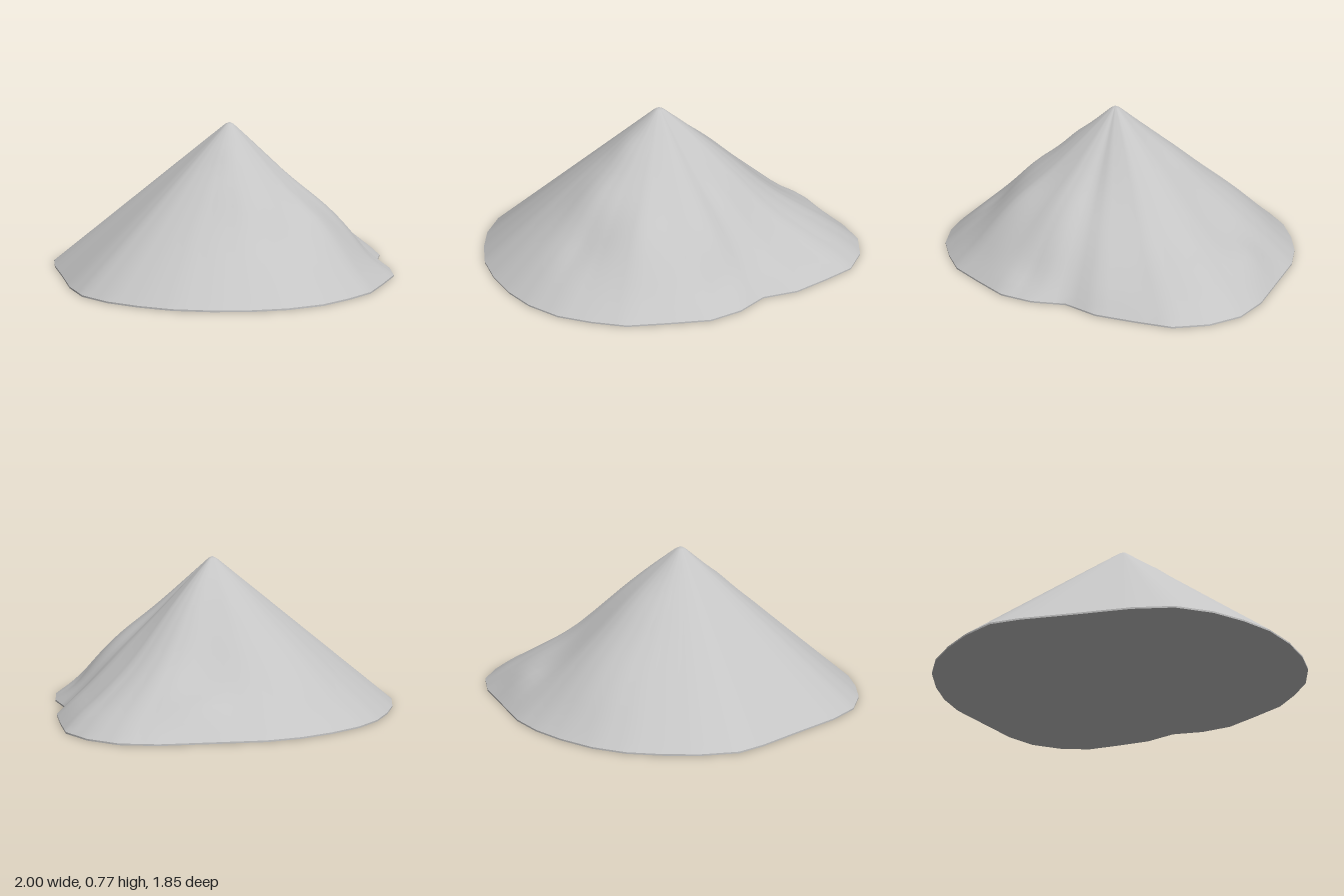
import * as THREE from 'three';

// Footprint of the heap as [x, z], running back -> +x -> front -> -x
const RIM = [
  [-0.15, -0.93], [0.02, -0.93], [0.2, -0.89], [0.36, -0.83], [0.51, -0.74], [0.69, -0.57],
  [0.87, -0.4], [0.97, -0.25], [1, -0.08], [0.97, 0.09], [0.86, 0.24], [0.74, 0.39],
  [0.59, 0.49], [0.51, 0.64], [0.39, 0.76], [0.2, 0.84], [0.02, 0.91], [-0.15, 0.92],
  [-0.32, 0.91], [-0.49, 0.85], [-0.63, 0.76], [-0.76, 0.64], [-0.87, 0.5], [-0.94, 0.35],
  [-0.99, 0.19], [-1, 0.01], [-0.94, -0.17], [-0.82, -0.4], [-0.71, -0.62], [-0.63, -0.74],
  [-0.48, -0.83], [-0.32, -0.89],
];
const PEAK = { x: -0.06, y: 0.775, z: 0.03 };
const LIP = 0.008;
const RINGS = 28;
const SPLIT = 3;

// Soft swellings and hollows: [x, z, radius, height]
const LUMPS = [
  [0.55, 0.02, 0.27, -0.055],  // hollow on the +x flank
  [0.45, -0.3, 0.16, -0.02],
  [0.66, -0.49, 0.12, 0.04],   // slump by the straight back edge
  [0.12, -0.6, 0.2, 0.025],
  [0.08, -0.28, 0.14, 0.015],
  [0.02, 0.6, 0.16, 0.04],     // front swelling
  [0.3, 0.4, 0.16, 0.025],
  [0.42, 0.64, 0.12, -0.04],   // hollow by the notch
  [-0.3, 0.42, 0.12, 0.02],
  [-0.28, 0.62, 0.1, -0.02],
  [-0.2, 0.2, 0.07, 0.01],
];

// Straight cone plus lumps that fade out at peak and rim
function heightAt(x, z, t) {
  const fade = Math.min(1, t * 5) * Math.min(1, (1 - t) * 6);
  let y = LIP + (PEAK.y - LIP) * (1 - t);
  for (const [lx, lz, r, h] of LUMPS) {
    y += fade * h * Math.exp(-((x - lx) ** 2 + (z - lz) ** 2) / (r * r));
  }
  return Math.max(LIP, y);
}

// Rim with extra points along each straight edge
function denseRim() {
  const out = [];
  RIM.forEach(([x, z], i) => {
    const [nx, nz] = RIM[(i + 1) % RIM.length];
    for (let k = 0; k < SPLIT; k++) {
      const f = k / SPLIT;
      out.push([x + (nx - x) * f, z + (nz - z) * f]);
    }
  });
  return out;
}

// Sloping surface: rings from the blunted peak out to the rim
function slopeGeometry(rim) {
  const n = rim.length;
  const pos = [PEAK.x, PEAK.y - 0.008, PEAK.z];
  const index = [];
  const at = (ring, j) => (ring === 0 ? 0 : 1 + (ring - 1) * n + (j % n));
  for (let i = 1; i <= RINGS; i++) {
    const t = (i / RINGS) ** 1.1;
    for (const [rx, rz] of rim) {
      const x = PEAK.x + (rx - PEAK.x) * t;
      const z = PEAK.z + (rz - PEAK.z) * t;
      pos.push(x, heightAt(x, z, t), z);
    }
    for (let j = 0; j < n; j++) {
      index.push(at(i - 1, j), at(i, j + 1), at(i, j));
      if (i > 1) index.push(at(i - 1, j), at(i - 1, j + 1), at(i, j + 1));
    }
  }
  const geo = new THREE.BufferGeometry();
  geo.setAttribute('position', new THREE.Float32BufferAttribute(pos, 3));
  geo.setIndex(index);
  geo.computeVertexNormals();
  return geo;
}

// Thin upright lip between the slope and the ground
function lipGeometry(rim) {
  const n = rim.length;
  const pos = [];
  const index = [];
  rim.forEach(([x, z], j) => {
    pos.push(x, LIP, z, x, 0, z);
    const a = 2 * j;
    const b = 2 * ((j + 1) % n);
    index.push(a, b, b + 1, a, b + 1, a + 1);
  });
  const geo = new THREE.BufferGeometry();
  geo.setAttribute('position', new THREE.Float32BufferAttribute(pos, 3));
  geo.setIndex(index);
  geo.computeVertexNormals();
  return geo;
}

export function createModel() {
  const group = new THREE.Group();
  group.name = 'heap';
  const grey = new THREE.MeshStandardMaterial({ color: 0xc4c4c4 });
  grey.name = 'pale grey';
  const add = (name, geo) => {
    const mesh = new THREE.Mesh(geo, grey);
    mesh.name = name;
    group.add(mesh);
  };

  const rim = denseRim();
  add('slope', slopeGeometry(rim));
  add('rimLip', lipGeometry(rim));

  // Flat underside
  const outline = new THREE.Shape(RIM.map(([x, z]) => new THREE.Vector2(x, z)));
  add('underside', new THREE.ShapeGeometry(outline).rotateX(Math.PI / 2));
  return group;
}
